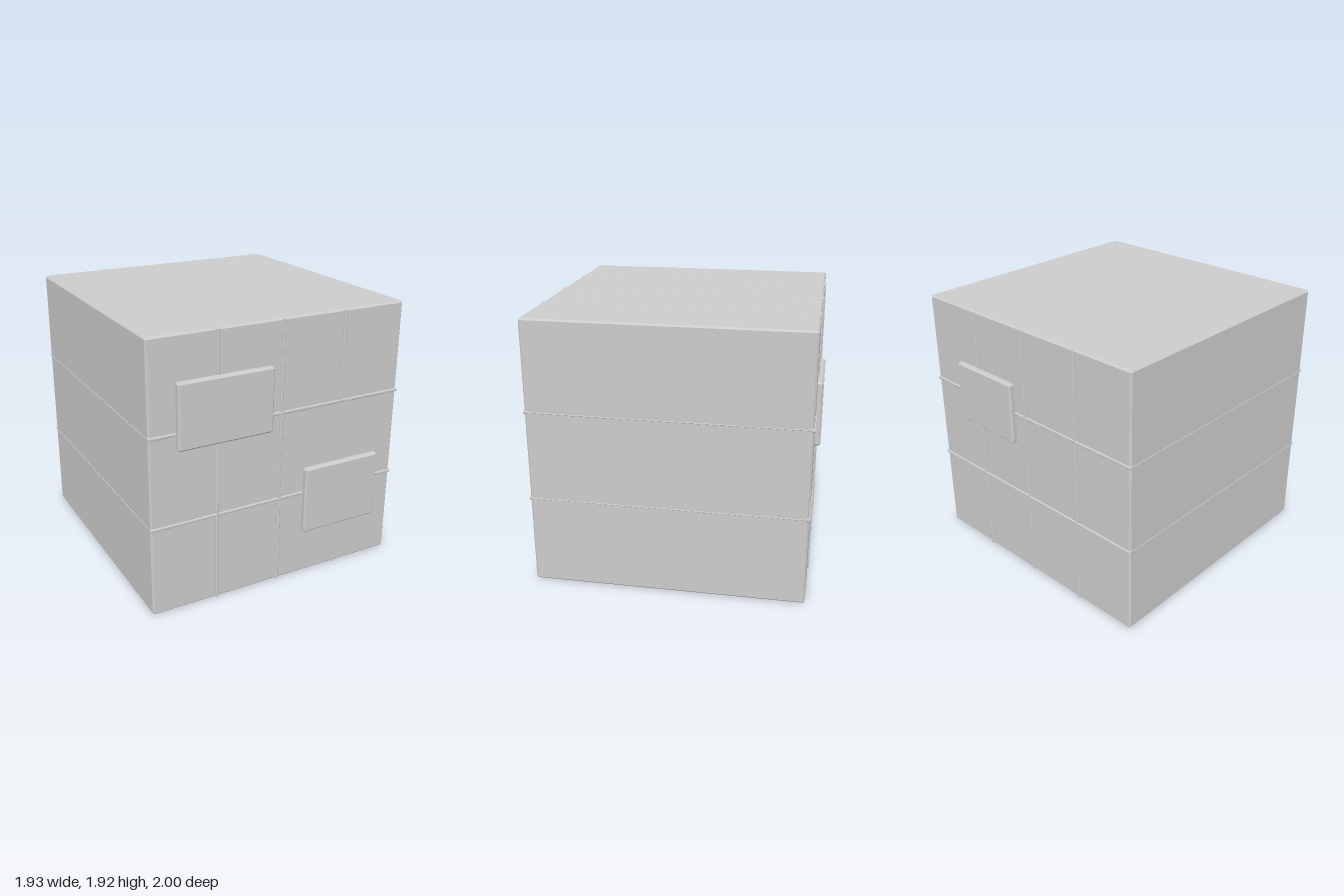
import * as THREE from 'three';
import { ConvexGeometry } from 'three/addons/geometries/ConvexGeometry.js';

const material = new THREE.MeshStandardMaterial({ color: 0xcccccc, flatShading: true });

// Box with every edge chamfered by b
function bevelBox(w, h, d, b) {
  const points = [];
  for (const sx of [-1, 1]) for (const sy of [-1, 1]) for (const sz of [-1, 1]) {
    const x = w / 2, y = h / 2, z = d / 2;
    points.push(
      new THREE.Vector3(sx * x, sy * (y - b), sz * (z - b)),
      new THREE.Vector3(sx * (x - b), sy * y, sz * (z - b)),
      new THREE.Vector3(sx * (x - b), sy * (y - b), sz * z)
    );
  }
  return new ConvexGeometry(points);
}

export function createModel() {
  const group = new THREE.Group();
  const size = 1.92, mid = size / 2;

  const add = (name, w, h, d, b, x, y, z) => {
    const mesh = new THREE.Mesh(bevelBox(w, h, d, b), material);
    mesh.name = name;
    mesh.position.set(x, y, z);
    group.add(mesh);
  };

  // Main block
  add('body', size, size, size, 0.012, 0, mid, 0);

  // Upright seams: thin line over top and bottom, wider bars on front and back
  for (const x of [-0.48, 0, 0.48]) {
    add('uprightSeam', 0.008, size + 0.004, size, 0.002, x, mid, 0);
    for (const side of [-1, 1])
      add('uprightBar', 0.022, size, 0.04, 0.005, x, mid, side * 0.95);
  }

  // Level seams: thin line round the sides, wider bars on front and back
  for (const y of [0.64, 1.275]) {
    add('levelSeam', size + 0.006, 0.008, size, 0.002, 0, y, 0);
    for (const side of [-1, 1])
      add('levelBar', size + 0.006, 0.022, 0.04, 0.005, 0, y, side * 0.95);
  }

  // Raised plates: x and y limits, and the face they sit on
  const plates = [
    [-0.77, -0.08, 1.165, 1.62, 1],
    [0.195, 0.805, 0.335, 0.83, 1],
    [0.1, 0.665, 1.05, 1.5, -1],
  ];
  for (const [x0, x1, y0, y1, side] of plates)
    add(side > 0 ? 'frontPlate' : 'backPlate', x1 - x0, y1 - y0, 0.05, 0.012,
      (x0 + x1) / 2, (y0 + y1) / 2, side * 0.975);

  return group;
}
